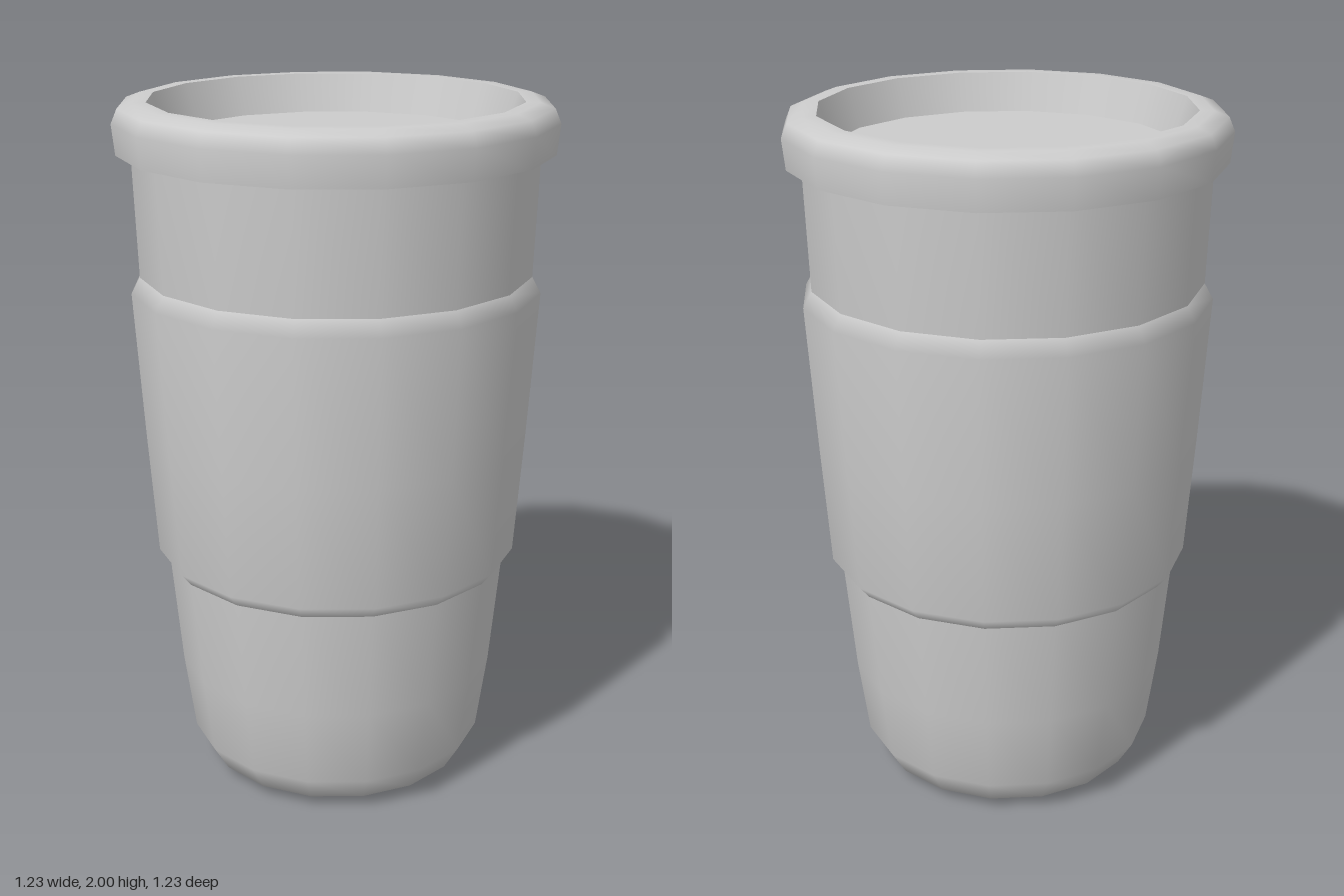
import * as THREE from 'three';

const SIDES = 16;

export function createModel() {
  const cup = new THREE.Group();
  cup.name = 'travelCup';
  const grey = new THREE.MeshStandardMaterial({ color: 0xcccccc });
  grey.name = 'light grey';

  // Each profile is a list of [radius, height]; separate profiles meet in sharp edges
  const turn = (name, profile, parent = cup) => {
    const points = profile.map(([r, y]) => new THREE.Vector2(r, y));
    const mesh = new THREE.Mesh(new THREE.LatheGeometry(points, SIDES), grey);
    mesh.name = name;
    parent.add(mesh);
  };

  // Tapered cup with a rounded foot
  turn('base', [[0, 0], [0.31, 0]]);
  turn('body', [[0.31, 0], [0.39, 0.035], [0.435, 0.11], [0.467, 0.34], [0.497, 0.66], [0.555, 1.52], [0.567, 1.86]]);

  // Grip sleeve with bevelled ends
  turn('sleeve', [[0.495, 0.66], [0.528, 0.7], [0.553, 1.05], [0.58, 1.475], [0.555, 1.52]]);

  // Lid: rounded rim around a sunken floor
  const lid = new THREE.Group();
  lid.name = 'lid';
  cup.add(lid);
  turn('lidUnderside', [[0.56, 1.86], [0.608, 1.86]], lid);
  turn('lidRim', [[0.608, 1.86], [0.617, 1.945], [0.6, 1.985], [0.56, 2], [0.521, 2]], lid);
  turn('lidInnerWall', [[0.521, 2], [0.485, 1.89]], lid);
  turn('lidFloor', [[0.485, 1.89], [0, 1.89]], lid);

  return cup;
}
